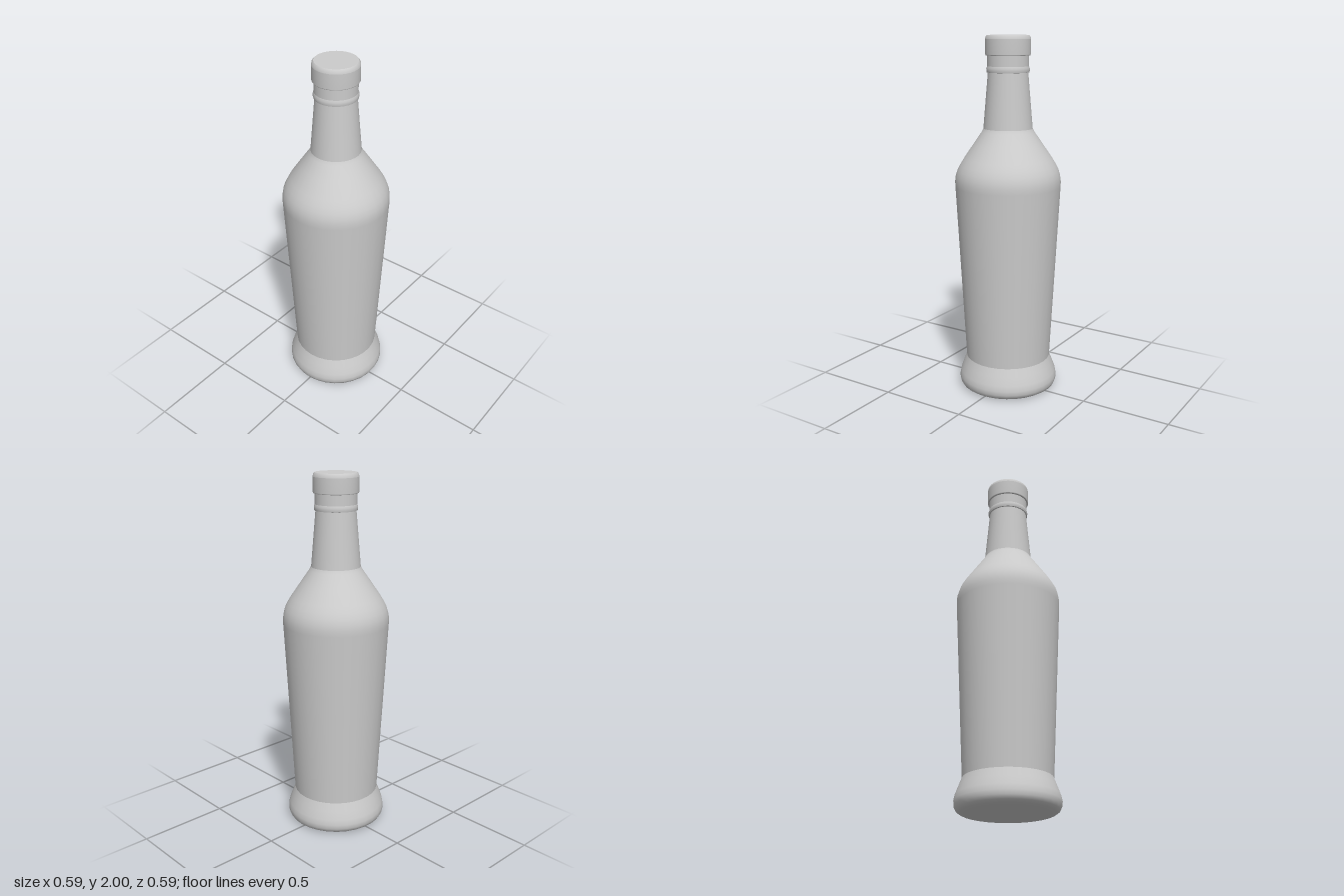
import * as THREE from 'three';

const SIDES = 30;
const material = new THREE.MeshStandardMaterial({ color: 0xcccccc });

// Revolve [radius, height] profiles listed bottom to top; each profile is smooth, edges between them stay sharp
function turned(name, ...profiles) {
  const group = new THREE.Group();
  group.name = name;
  profiles.forEach((profile, i) => {
    const points = profile.map(([r, y]) => new THREE.Vector2(r, y));
    const mesh = new THREE.Mesh(new THREE.LatheGeometry(points, SIDES, Math.PI / 2), material);
    mesh.name = `${name}Surface${i + 1}`;
    group.add(mesh);
  });
  return group;
}

export function createModel() {
  const bottle = new THREE.Group();
  bottle.name = 'bottle';

  // Flared foot with a rounded lower edge and a flat underside
  bottle.add(turned('foot',
    [[0, 0], [0.23, 0]],
    [[0.23, 0], [0.253, 0.004], [0.27, 0.015], [0.28, 0.036], [0.281, 0.06], [0.275, 0.09], [0.258, 0.135], [0.241, 0.18]],
  ));

  // Body widening upwards, then the rounded shoulder
  bottle.add(turned('body',
    [[0.241, 0.18], [0.268, 0.69], [0.294, 1.18], [0.295, 1.21], [0.291, 1.24], [0.282, 1.27],
      [0.267, 1.3], [0.247, 1.333], [0.192, 1.414], [0.145, 1.482], [0.136, 1.5]],
  ));

  // Tapering neck
  bottle.add(turned('neck', [[0.136, 1.5], [0.123, 1.65], [0.11, 1.802]]));

  // Collar with a slightly raised lower bead
  bottle.add(turned('collar',
    [[0.11, 1.802], [0.116, 1.803]],
    [[0.116, 1.803], [0.118, 1.812], [0.118, 1.824], [0.114, 1.835]],
    [[0.114, 1.835], [0.114, 1.892]],
  ));

  // Cap with a bevelled rim and a flat top
  bottle.add(turned('cap',
    [[0.114, 1.892], [0.121, 1.893]],
    [[0.121, 1.893], [0.124, 1.898], [0.124, 1.978]],
    [[0.124, 1.978], [0.121, 1.992], [0.113, 2]],
    [[0.113, 2], [0, 2]],
  ));

  return bottle;
}
